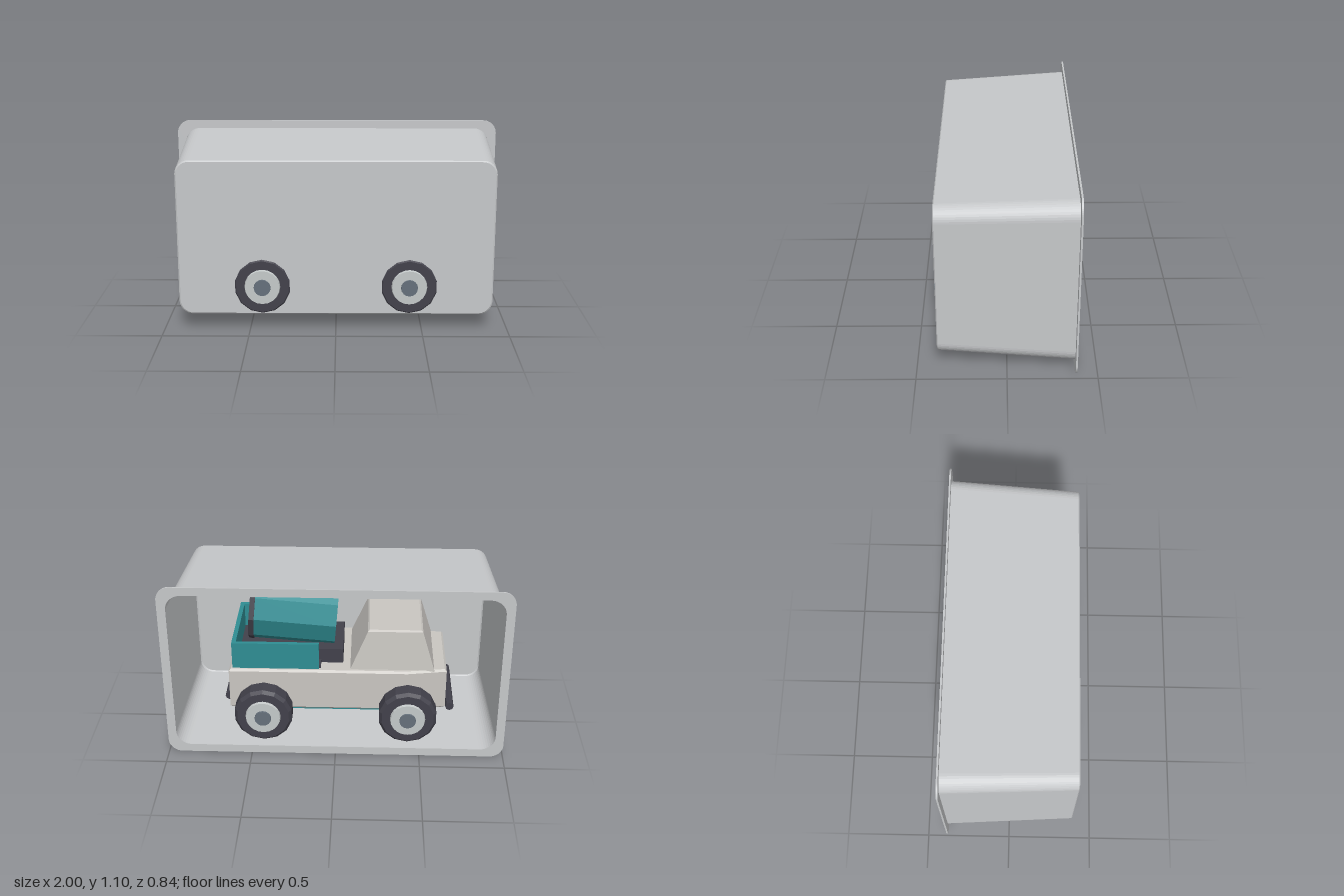
import * as THREE from 'three';

const mat = (name, color, extra = {}) => {
  const m = new THREE.MeshStandardMaterial({ color, flatShading: true, ...extra });
  m.name = name;
  return m;
};

// Outline of a rounded rectangle centred on (0, cy)
function roundedRect(hw, y0, y1, r, Type = THREE.Shape) {
  const s = new Type();
  s.absarc(hw - r, y1 - r, r, 0, Math.PI / 2);
  s.absarc(-hw + r, y1 - r, r, Math.PI / 2, Math.PI);
  s.absarc(-hw + r, y0 + r, r, Math.PI, Math.PI * 1.5);
  s.absarc(hw - r, y0 + r, r, Math.PI * 1.5, Math.PI * 2);
  s.closePath();
  return s;
}

// Skin between cross-section rings of equal point count
function loft(rings) {
  const pos = [];
  for (let k = 0; k < rings.length - 1; k++) {
    const a = rings[k], b = rings[k + 1], n = a.length;
    for (let i = 0; i < n; i++) {
      const j = (i + 1) % n;
      for (const p of [a[i], a[j], b[j], a[i], b[j], b[i]]) pos.push(p.x, p.y, p.z);
    }
  }
  const g = new THREE.BufferGeometry();
  g.setAttribute('position', new THREE.Float32BufferAttribute(pos, 3));
  g.computeVertexNormals();
  return g;
}

export function createModel() {
  const model = new THREE.Group();
  model.name = 'toyTruckInTray';
  const tray = mat('trayGrey', 0xc6c8ca, { side: THREE.DoubleSide });
  const paint = mat('bodyGrey', 0xc9c6c1);
  const teal = mat('teal', 0x2f8d93);
  const dark = mat('rubber', 0x42414b);
  const rim = mat('rimGrey', 0xc4c9c9);
  const steel = mat('hubSteel', 0x65707b);

  const add = (name, geo, material, x = 0, y = 0, z = 0, parent = model) => {
    const m = new THREE.Mesh(geo, material);
    m.name = name;
    m.position.set(x, y, z);
    parent.add(m);
    return m;
  };
  const box = (name, material, x0, x1, y0, y1, z0, z1) =>
    add(name, new THREE.BoxGeometry(x1 - x0, y1 - y0, z1 - z0), material,
      (x0 + x1) / 2, (y0 + y1) / 2, (z0 + z1) / 2);

  // Tapered tray, open at the back
  const ring = (hw, y0, y1, r, z) =>
    roundedRect(hw, y0, y1, r).getPoints(5).slice(0, -1).map(p => new THREE.Vector3(p.x, p.y, z));
  add('trayWalls', loft([
    ring(0.95, 0.05, 1.05, 0.09, -0.38),
    ring(0.91, 0.093, 1.007, 0.08, 0.38),
    ring(0.902, 0.1, 1.0, 0.075, 0.386),
  ]), tray);
  add('trayPanel', new THREE.ShapeGeometry(roundedRect(0.902, 0.1, 1.0, 0.075), 5), tray, 0, 0, 0.386);
  const flange = roundedRect(1, 0, 1.1, 0.08);
  flange.holes.push(roundedRect(0.95, 0.05, 1.05, 0.09, THREE.Path));
  add('trayFlange', new THREE.ExtrudeGeometry(flange, { depth: 0.01, bevelEnabled: false, curveSegments: 6 }),
    tray, 0, 0, -0.386);

  // Lower truck body, narrowing at the nose
  const plan = new THREE.Shape([
    [0.62, -0.26], [0.62, 0.26], [-0.42, 0.26], [-0.64, 0.225], [-0.64, -0.225], [-0.42, -0.26],
  ].map(p => new THREE.Vector2(...p)));
  const bodyGeo = new THREE.ExtrudeGeometry(plan, {
    depth: 0.24, bevelThickness: 0.012, bevelSize: 0.012, bevelSegments: 1,
  });
  bodyGeo.rotateX(-Math.PI / 2);
  add('truckBody', bodyGeo, paint, 0, 0.257, 0);

  // Cab tapering to its roof
  const cabRing = (x0, x1, hz, y) => [[x0, hz], [x1, hz], [x1, -hz], [x0, -hz]]
    .map(([x, z]) => new THREE.Vector3(x, y, z));
  add('cab', loft([
    cabRing(-0.58, -0.08, 0.245, 0.5),
    cabRing(-0.505, -0.185, 0.222, 0.75),
    cabRing(-0.495, -0.195, 0.21, 0.758),
    cabRing(-0.345, -0.345, 0, 0.758),
  ]), paint);

  // Chassis, rails and bumpers
  box('chassisPlate', teal, -0.58, 0.58, 0.225, 0.246, -0.24, 0.24);
  for (const z of [-0.13, 0.13]) box('chassisRail', dark, -0.6, 0.6, 0.185, 0.225, z - 0.03, z + 0.03);
  for (const x of [-0.68, 0.64]) {
    const b = add('bumper', new THREE.CylinderGeometry(0.025, 0.025, 0.46, 8), dark, x, x < 0 ? 0.25 : 0.3, 0);
    b.rotation.x = Math.PI / 2;
  }

  // Load bed with open front
  box('bedFloor', dark, 0.09, 0.59, 0.505, 0.53, -0.24, 0.24);
  box('bedRearWall', teal, 0.585, 0.61, 0.515, 0.68, -0.26, 0.26);
  for (const s of [-1, 1]) {
    box('bedSideWall', teal, 0.1, 0.585, 0.515, 0.68, s * 0.2475 - 0.0125, s * 0.2475 + 0.0125);
  }
  box('drumSupport', dark, -0.04, 0.12, 0.505, 0.6, -0.17, 0.17);

  // Slightly tilted drum with a dark rear cap
  const drum = new THREE.Group();
  drum.name = 'drum';
  drum.position.set(0.25, 0.79, 0);
  drum.rotation.z = -Math.PI / 2 + 0.08;
  model.add(drum);
  add('drumShell', new THREE.CylinderGeometry(0.205, 0.205, 0.48, 10), teal, 0, -0.01, 0, drum);
  add('drumCap', new THREE.CylinderGeometry(0.212, 0.212, 0.03, 10), dark, 0, 0.245, 0, drum);

  // Wheels and axles
  const tyre = new THREE.LatheGeometry([
    [0, 0.27], [0.15, 0.27], [0.172, 0.29], [0.172, 0.375], [0.155, 0.394], [0, 0.394],
  ].map(p => new THREE.Vector2(...p)), 14);
  for (const x of [-0.425, 0.425]) {
    const axle = add('axle', new THREE.CylinderGeometry(0.03, 0.03, 0.56, 8), dark, x, 0.263, 0);
    axle.rotation.x = Math.PI / 2;
    for (const s of [-1, 1]) {
      const wheel = new THREE.Group();
      wheel.name = 'wheel';
      wheel.position.set(x, 0.263, 0);
      wheel.rotation.x = s * Math.PI / 2;
      model.add(wheel);
      add('tyre', tyre, dark, 0, 0, 0, wheel);
      add('wheelRim', new THREE.CylinderGeometry(0.1, 0.105, 0.02, 20), rim, 0, 0.4, 0, wheel);
      add('hubCap', new THREE.CylinderGeometry(0.048, 0.05, 0.02, 16), steel, 0, 0.41, 0, wheel);
    }
  }
  return model;
}
